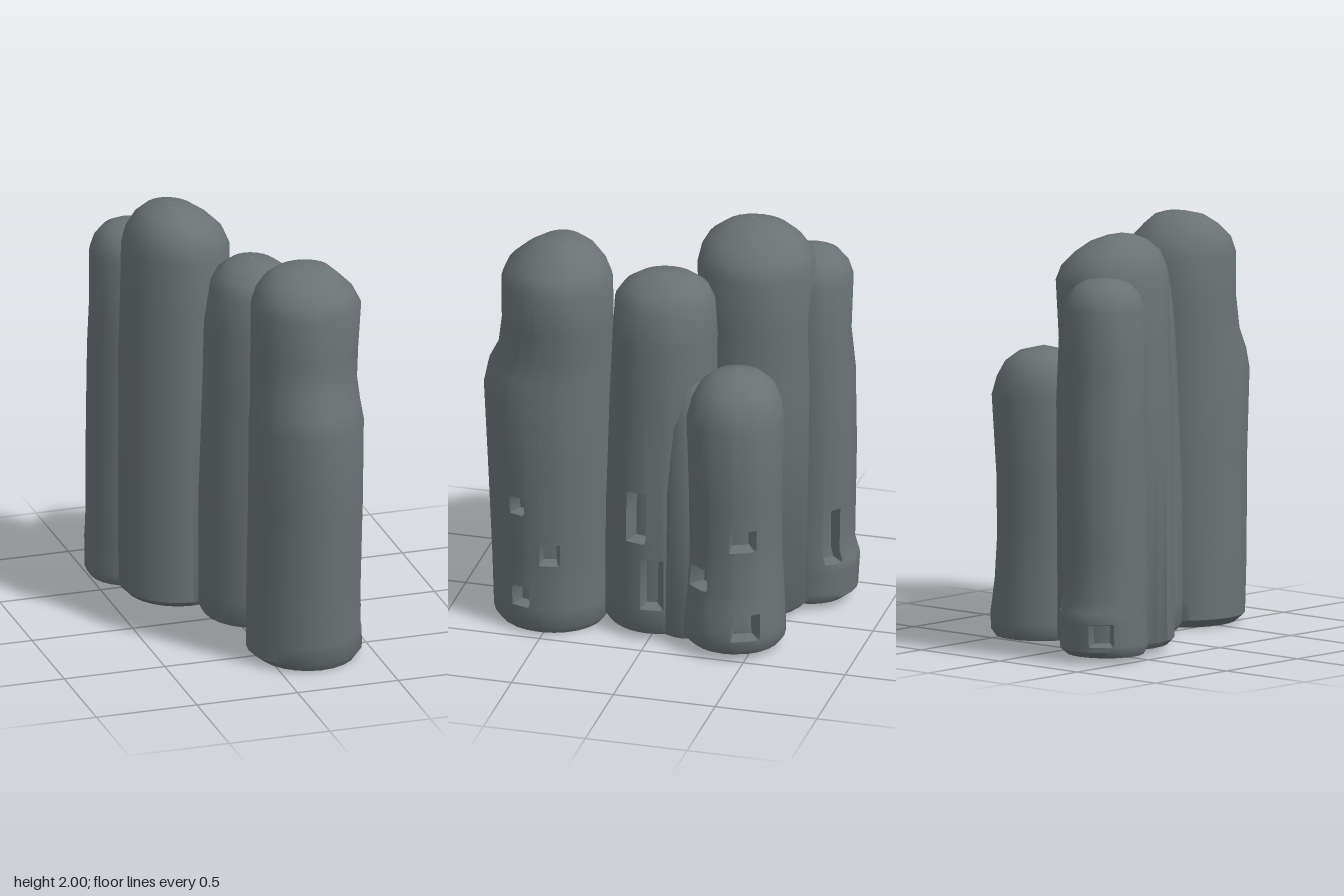
import * as THREE from 'three';
import { toCreasedNormals } from 'three/addons/utils/BufferGeometryUtils.js';

const DEG = Math.PI / 180;
const material = new THREE.MeshStandardMaterial({ color: 0x6a7274 });

// Profile rows are [y, xMin, xMax, zMin, zMax]; read one at any height.
function rowAt(rows, y) {
  const i = Math.min(rows.length - 2, Math.max(0, rows.findIndex(r => r[0] >= y) - 1));
  const t = (y - rows[i][0]) / (rows[i + 1][0] - rows[i][0]);
  return rows[i].map((v, k) => THREE.MathUtils.lerp(v, rows[i + 1][k], t));
}

// Base values plus a doubled line on each window edge, without slivers.
function withEdges(base, spans, lip, gap) {
  const edges = spans.flatMap(([a, b]) => [a, a + lip, b - lip, b]);
  const kept = base.filter(v => edges.every(e => Math.abs(e - v) > gap));
  return [...kept, ...new Set(edges)].sort((a, b) => a - b);
}

// A rounded tower skin; windows are [angle, y, halfAngle, height, depth].
// Angle 0 faces +x and 90 faces +z.
function tower(name, rows, windows = []) {
  const base = Array.from({ length: 24 }, (_, i) => i * 15 - 180);
  const angles = withEdges(base, windows.map(w => [w[0] - w[2], w[0] + w[2]]), 2, 2);
  const heights = withEdges(rows.map(r => r[0]),
    windows.map(w => [w[1] - w[3] / 2, w[1] + w[3] / 2]), 0.012, 0.004);
  const positions = [], index = [], n = angles.length;

  const ring = (row, scale) => angles.forEach(a => {
    const [y, x0, x1, z0, z1] = row;
    const rx = (x1 - x0) / 2, rz = (z1 - z0) / 2;
    let s = scale;
    for (const [wa, wy, half, h, depth] of windows) {
      const inside = Math.abs(a - wa) < half - 1 && Math.abs(y - wy) < h / 2 - 0.006;
      if (inside) s = scale * (1 - depth / rx);
    }
    positions.push((x0 + x1) / 2 + rx * s * Math.cos(a * DEG), y,
      (z0 + z1) / 2 + rz * s * Math.sin(a * DEG));
  });

  ring(rows[0], 0.001); // closed foot
  heights.forEach(y => ring(rowAt(rows, y), 1));
  for (let j = 0; j <= heights.length - 1; j++) {
    for (let i = 0; i < n; i++) {
      const a = j * n + i, b = j * n + (i + 1) % n, c = a + n, d = b + n;
      index.push(a, c, b, b, c, d);
    }
  }
  const geometry = new THREE.BufferGeometry();
  geometry.setAttribute('position', new THREE.Float32BufferAttribute(positions, 3));
  geometry.setIndex(index);
  const mesh = new THREE.Mesh(toCreasedNormals(geometry, 45 * DEG), material);
  mesh.name = name;
  return mesh;
}

export function createModel() {
  const model = new THREE.Group();
  model.name = 'towerCluster';

  // Front tower, bulging below two thirds of its height
  model.add(tower('frontTower', [
    [0.00, -0.04, 0.43, 0.27, 0.77], [0.04, -0.09, 0.46, 0.24, 0.80],
    [0.30, -0.09, 0.45, 0.24, 0.81], [0.80, -0.08, 0.46, 0.23, 0.83],
    [1.20, -0.08, 0.46, 0.23, 0.85], [1.30, -0.07, 0.445, 0.23, 0.83],
    [1.40, -0.065, 0.44, 0.23, 0.78], [1.55, -0.06, 0.45, 0.23, 0.76],
    [1.77, -0.06, 0.465, 0.23, 0.76], [1.84, -0.04, 0.43, 0.26, 0.73],
    [1.90, 0.00, 0.37, 0.31, 0.66], [1.945, 0.06, 0.32, 0.37, 0.59],
    [1.96, 0.13, 0.27, 0.42, 0.53], [1.965, 0.199, 0.201, 0.47, 0.472],
  ], [
    [20, 0.65, 8, 0.09, 0.06], [-12, 0.41, 10, 0.11, 0.06], [18, 0.18, 10, 0.10, 0.06],
  ]));

  // Middle tower with two tall windows
  model.add(tower('middleTower', [
    [0.03, -0.14, 0.37, -0.25, 0.26], [0.06, -0.16, 0.39, -0.27, 0.28],
    [0.65, -0.16, 0.385, -0.27, 0.28], [1.20, -0.14, 0.36, -0.26, 0.26],
    [1.50, -0.13, 0.345, -0.26, 0.24], [1.68, -0.10, 0.32, -0.25, 0.23],
    [1.74, -0.07, 0.28, -0.22, 0.19], [1.785, -0.01, 0.22, -0.16, 0.12],
    [1.803, 0.05, 0.16, -0.10, 0.05], [1.81, 0.10, 0.102, -0.03, -0.028],
  ], [
    [12, 0.63, 11, 0.26, 0.07], [-5, 0.29, 12, 0.26, 0.07],
  ]));

  // Tallest tower at the back
  model.add(tower('tallTower', [
    [0.03, -0.41, 0.08, -0.62, -0.11], [0.06, -0.44, 0.10, -0.65, -0.08],
    [1.20, -0.44, 0.10, -0.66, -0.09], [1.50, -0.43, 0.085, -0.65, -0.11],
    [1.78, -0.42, 0.09, -0.67, -0.10], [1.85, -0.40, 0.06, -0.65, -0.115],
    [1.91, -0.37, 0.00, -0.60, -0.15], [1.96, -0.32, -0.07, -0.53, -0.22],
    [1.985, -0.26, -0.13, -0.45, -0.28], [2.00, -0.20, -0.198, -0.36, -0.358],
  ]));

  // Slim tower at the rear corner
  model.add(tower('rearTower', [
    [0.03, -0.51, -0.14, -0.79, -0.43], [0.06, -0.53, -0.12, -0.83, -0.41],
    [0.22, -0.53, -0.12, -0.84, -0.41], [0.30, -0.53, -0.12, -0.815, -0.41],
    [0.80, -0.525, -0.12, -0.825, -0.41], [1.20, -0.52, -0.12, -0.82, -0.41],
    [1.40, -0.515, -0.12, -0.80, -0.41], [1.68, -0.51, -0.13, -0.81, -0.42],
    [1.74, -0.49, -0.15, -0.79, -0.44], [1.79, -0.45, -0.19, -0.75, -0.48],
    [1.815, -0.40, -0.24, -0.70, -0.54], [1.825, -0.33, -0.328, -0.63, -0.628],
  ], [
    [-42, 0.38, 13, 0.28, 0.06], [-130, 0.14, 17, 0.11, 0.06],
  ]));

  // Short tower on the left side
  model.add(tower('shortTower', [
    [0.03, 0.06, 0.49, -0.62, -0.18], [0.06, 0.04, 0.515, -0.64, -0.15],
    [0.14, 0.04, 0.52, -0.64, -0.15], [0.30, 0.04, 0.495, -0.63, -0.16],
    [0.50, 0.04, 0.485, -0.62, -0.17], [0.80, 0.04, 0.49, -0.62, -0.17],
    [1.18, 0.05, 0.51, -0.635, -0.17], [1.27, 0.06, 0.48, -0.62, -0.19],
    [1.34, 0.09, 0.44, -0.585, -0.23], [1.39, 0.15, 0.37, -0.53, -0.29],
    [1.42, 0.25, 0.252, -0.41, -0.408],
  ], [
    [-25, 0.61, 17, 0.11, 0.07], [36, 0.39, 16, 0.11, 0.07], [-28, 0.17, 17, 0.13, 0.07],
  ]));

  // Infill between the middle and short towers
  model.add(tower('sideInfill', [
    [0.03, 0.11, 0.38, -0.30, -0.02], [0.06, 0.10, 0.395, -0.31, -0.01],
    [0.75, 0.10, 0.385, -0.30, -0.02], [1.10, 0.08, 0.35, -0.29, -0.04],
    [1.30, 0.07, 0.29, -0.28, -0.08], [1.40, 0.12, 0.122, -0.20, -0.198],
  ]));

  return model;
}
